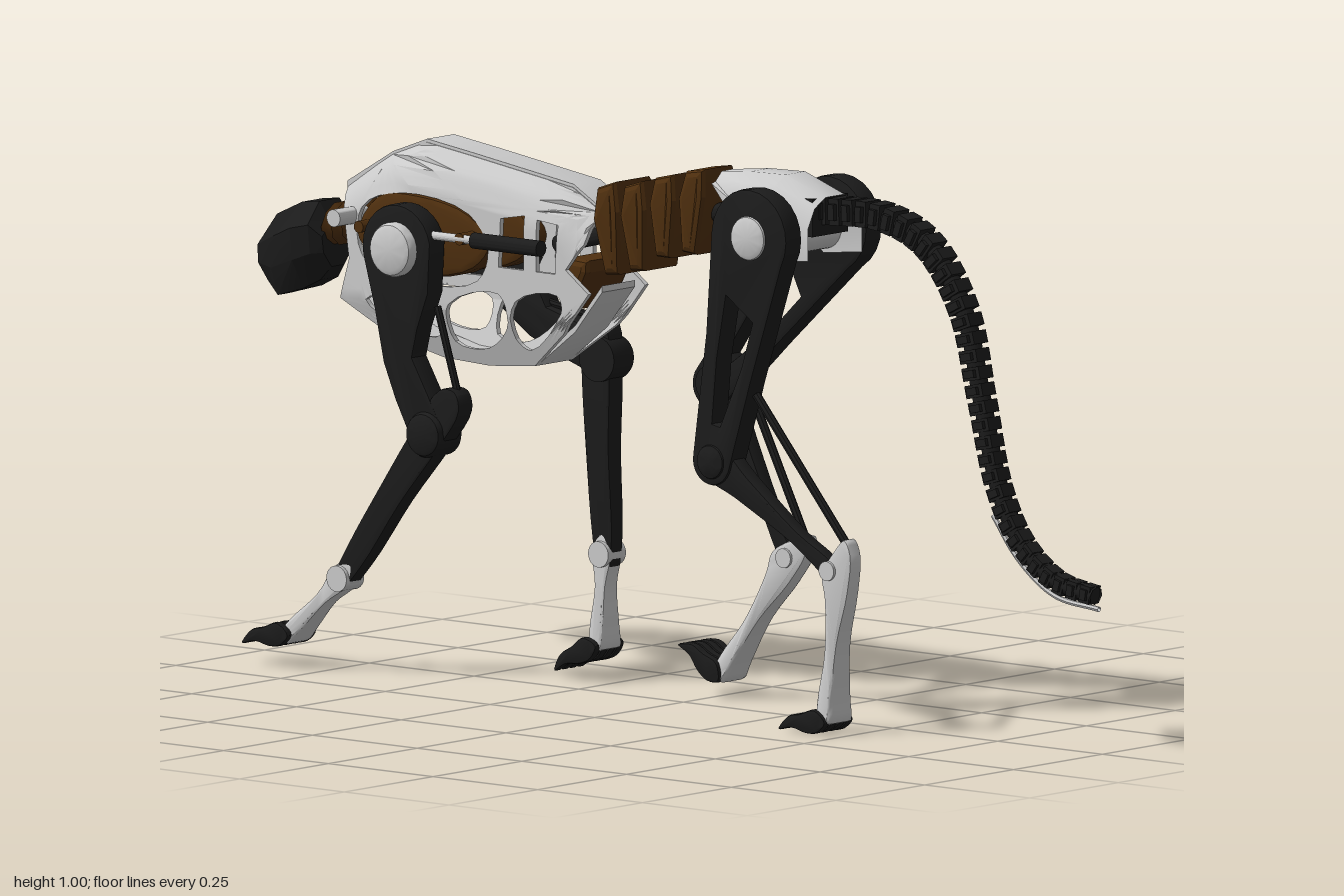
import * as THREE from 'three';
import { toCreasedNormals } from 'three/addons/utils/BufferGeometryUtils.js';

const mat = (color) => new THREE.MeshStandardMaterial({ color, side: THREE.DoubleSide });
const GREY = mat(0xcccccc), BLACK = mat(0x1c1c1c), BROWN = mat(0x50300f);

function add(parent, name, geo, material, crease = 0.6) {
  const mesh = new THREE.Mesh(toCreasedNormals(geo, crease), material);
  mesh.name = name;
  parent.add(mesh);
  return mesh;
}

const arc = (cx, cy, r, a0, a1, n = 14) => Array.from({ length: n + 1 }, (_, i) => {
  const a = a0 + (a1 - a0) * i / n;
  return [cx + r * Math.cos(a), cy + r * Math.sin(a)];
});
const toShape = (pts) => new THREE.Shape(pts.map((p) => new THREE.Vector2(...p)));
const smooth = (pts) => new THREE.CatmullRomCurve3(pts.map((p) => new THREE.Vector3(p[0], p[1], 0)), true)
  .getPoints(pts.length * 4).slice(0, -1).map((p) => [p.x, p.y]);

// Slab cut from an outline, centred on z = 0
function slab(pts, depth, holes = [], bevel = 0) {
  const shape = toShape(pts);
  shape.holes = holes.map((h) => toShape(h));
  const core = depth - 2 * bevel;
  const geo = new THREE.ExtrudeGeometry(shape, { depth: core, bevelEnabled: bevel > 0,
    bevelThickness: bevel, bevelSize: bevel, bevelOffset: -bevel, bevelSegments: 2 });
  return geo.translate(0, 0, -core / 2);
}

// Limb part running from joint a to joint b; its outline uses (along, across)
function link(parent, name, a, b, z, pts, depth, material, { holes = [], w1 = depth } = {}) {
  const len = Math.hypot(b[0] - a[0], b[1] - a[1]);
  const geo = slab(pts, depth, holes, 0.005);
  const p = geo.attributes.position;
  for (let i = 0; i < p.count; i++) {
    const t = THREE.MathUtils.clamp(p.getX(i) / len, 0, 1);
    p.setZ(i, p.getZ(i) * (1 + (w1 / depth - 1) * t * t));
  }
  const mesh = add(parent, name, geo, material, 0.7);
  mesh.position.set(a[0], a[1], z);
  mesh.rotation.z = Math.atan2(b[1] - a[1], b[0] - a[0]);
}

// Cylinder between two 3D points
function rod(parent, name, a, b, r, material, sides = 16) {
  const A = new THREE.Vector3(...a), B = new THREE.Vector3(...b), d = B.clone().sub(A);
  const mesh = add(parent, name, new THREE.CylinderGeometry(r, r, d.length(), sides), material);
  mesh.position.copy(A).addScaledVector(d, 0.5);
  mesh.quaternion.setFromUnitVectors(new THREE.Vector3(0, 1, 0), d.normalize());
}
const axle = (g, name, x, y, z0, z1, r, m) => rod(g, name, [x, y, z0], [x, y, z1], r, m, 28);

// Rounded pin that caps a joint
function cap(g, name, x, y, z0, z1, r, m) {
  const h = Math.abs(z1 - z0);
  const prof = [[0, 0], [r, 0], [r, h - 0.012], [r - 0.004, h - 0.004], [r - 0.012, h], [0, h]];
  const mesh = add(g, name, new THREE.LatheGeometry(prof.map((p) => new THREE.Vector2(...p)), 28), m);
  mesh.position.set(x, y, z0);
  mesh.rotation.x = Math.sign(z1 - z0) * Math.PI / 2;
}

// Skin through a row of equal-length cross-sections
function loft(rings, closed) {
  const n = rings[0].length, idx = [], m = closed ? n : n - 1;
  for (let i = 0; i < rings.length - 1; i++) for (let j = 0; j < m; j++) {
    const a = i * n + j, b = i * n + (j + 1) % n;
    idx.push(a, b, a + n, b, b + n, a + n);
  }
  if (closed) for (let j = 1; j < n - 1; j++) {
    const e = (rings.length - 1) * n;
    idx.push(0, j + 1, j, e, e + j, e + j + 1);
  }
  const geo = new THREE.BufferGeometry();
  geo.setAttribute('position', new THREE.Float32BufferAttribute(rings.flat(2), 3));
  geo.setIndex(idx);
  return geo;
}

// Split every triangle in four so a flat plate can be curved
function subdivide(geo) {
  const p = geo.toNonIndexed ? (geo.index ? geo.toNonIndexed() : geo).attributes.position : null, out = [];
  const v = [0, 1, 2].map(() => new THREE.Vector3());
  for (let i = 0; i < p.count; i += 3) {
    v.forEach((q, k) => q.fromBufferAttribute(p, i + k));
    const [a, b, c] = v, ab = a.clone().lerp(b, 0.5), bc = b.clone().lerp(c, 0.5), ca = c.clone().lerp(a, 0.5);
    for (const q of [a, ab, ca, ab, b, bc, ca, bc, c, ab, bc, ca]) out.push(q.x, q.y, q.z);
  }
  const g = new THREE.BufferGeometry();
  g.setAttribute('position', new THREE.Float32BufferAttribute(out, 3));
  return g;
}

const ramp = (t, table) => {
  for (let i = 1; i < table.length; i++) if (t <= table[i][0]) {
    const [a, b] = [table[i - 1], table[i]];
    return a[1] + (b[1] - a[1]) * Math.max(0, (t - a[0]) / (b[0] - a[0]));
  }
  return table[table.length - 1][1];
};
const TOP = [[-0.77, 0.9], [-0.66, 0.965], [-0.58, 0.995], [-0.47, 0.98], [-0.23, 0.945], [-0.16, 0.905]];
const BELLY = [[-0.155, 0.76], [-0.22, 0.68], [-0.31, 0.61], [-0.42, 0.6], [-0.525, 0.605], [-0.63, 0.63], [-0.76, 0.695]];

function ribcage(root) {
  const g = new THREE.Group();
  g.name = 'ribcage';
  root.add(g);
  const outline = [...TOP, [-0.17, 0.85], [-0.21, 0.8], ...BELLY, [-0.735, 0.77], [-0.745, 0.83]];
  const holes = [
    smooth([[-0.71, 0.8], [-0.7, 0.87], [-0.6, 0.905], [-0.44, 0.88], [-0.395, 0.82], [-0.42, 0.76], [-0.56, 0.74], [-0.66, 0.75]]),
    smooth([[-0.69, 0.7], [-0.6, 0.715], [-0.52, 0.7], [-0.52, 0.65], [-0.61, 0.65]]),
    smooth([[-0.49, 0.71], [-0.37, 0.74], [-0.35, 0.69], [-0.41, 0.635], [-0.49, 0.64]]),
    smooth([[-0.33, 0.73], [-0.23, 0.75], [-0.22, 0.72], [-0.31, 0.64], [-0.34, 0.66]]),
    [[-0.37, 0.79], [-0.365, 0.88], [-0.31, 0.89], [-0.31, 0.79]],
    [[-0.28, 0.79], [-0.28, 0.885], [-0.23, 0.88], [-0.235, 0.79]],
  ];
  for (const s of [1, -1]) {
    const geo = subdivide(subdivide(slab(outline, 0.01, holes)));
    const p = geo.attributes.position;
    for (let i = 0; i < p.count; i++) {
      const x = p.getX(i), y = p.getY(i);
      const hw = Math.min(ramp(ramp(x, TOP) - y, [[0, 0.035], [0.03, 0.064], [0.08, 0.082]]),
        ramp(y, [[0.6, 0.045], [0.7, 0.08]])) * ramp(x, [[-0.78, 0.8], [-0.66, 1]]);
      p.setZ(i, p.getZ(i) + s * hw);
    }
    add(g, 'sideShell', geo, GREY, 0.5);
    // Shoulder pod, piston and its brackets
    const pod = add(g, 'shoulderPod', slab(smooth([[-0.71, 0.82], [-0.66, 0.895], [-0.56, 0.905], [-0.44, 0.88],
      [-0.39, 0.83], [-0.43, 0.78], [-0.56, 0.755], [-0.67, 0.78]]), 0.05, [], 0.012), BROWN);
    pod.position.z = s * 0.062;
    rod(g, 'piston', [-0.4, 0.84, s * 0.118], [-0.24, 0.84, s * 0.118], 0.015, BLACK);
    rod(g, 'pistonShaft', [-0.52, 0.84, s * 0.118], [-0.39, 0.84, s * 0.118], 0.008, GREY);
    for (const x of [-0.67, -0.43]) axle(g, 'podPin', x, 0.84, s * 0.05, s * 0.125, 0.011, BROWN);
    axle(g, 'collarPin', -0.73, 0.85, s * 0.04, s * 0.125, 0.016, GREY);
  }
  const strip = (pts, t) => [...pts, ...pts.slice().reverse().map(([x, y]) => [x, y - t])];
  add(g, 'backStrip', slab(strip(TOP.map(([x, y]) => [x, y + 0.006]), 0.014), 0.076), GREY);
  add(g, 'bellyStrip', slab(strip(BELLY, -0.012), 0.092), GREY);
  axle(g, 'shoulderAxle', -0.57, 0.81, -0.12, 0.12, 0.03, BLACK);
}

function headAndNeck(root) {
  // Head sections: x, top, bottom, half-width, lean of the section
  const rings = [[-0.985, 0.79, 0.7, 0.024, -0.012], [-0.955, 0.825, 0.675, 0.04, 0], [-0.885, 0.855, 0.695, 0.066, 0],
    [-0.845, 0.86, 0.715, 0.062, 0], [-0.825, 0.82, 0.74, 0.045, 0]].map(([x, t, b, w, lean]) => {
    const h = t - b;
    return [[t, 0.45], [t - h * 0.28, 1], [b + h * 0.35, 0.9], [b, 0.4]].flatMap(([y, k]) => [[y, k]])
      .flatMap(([y, k], i, arr) => [[x + lean * (i === 1 || i === 2 ? 1 : 0), y, w * k]])
      .concat([[b, 0.4], [b + h * 0.35, 0.9], [t - h * 0.28, 1], [t, 0.45]].map(([y, k], i) => [x + lean * (i === 1 || i === 2 ? 1 : 0), y, -w * k]));
  });
  add(root, 'head', loft(rings, true), BLACK, 0.3);
  rod(root, 'neckRod', [-0.85, 0.815, 0], [-0.68, 0.84, 0], 0.018, BLACK);
  for (let i = 0; i < 4; i++) {
    const v = add(root, 'neckVertebra', new THREE.CylinderGeometry(0.044, 0.03, 0.016, 10), BROWN);
    v.position.set(-0.82 + i * 0.024, 0.815 + i * 0.006, 0);
    v.rotation.z = Math.PI / 2 - 0.15;
  }
}

function spineAndPelvis(root) {
  rod(root, 'spineRod', [-0.3, 0.83, 0], [0.22, 0.96, 0], 0.016, BLACK);
  // Wedge vertebrae that get slimmer towards the hips
  [[-0.215, 0.775, 0.1, 0.07, -0.3], [-0.135, 0.88, 0.17, 0.068, 0.1], [-0.075, 0.89, 0.165, 0.064, 0.07],
    [-0.01, 0.915, 0.155, 0.06, 0], [0.055, 0.93, 0.16, 0.056, -0.08]].forEach(([x, y, h, w, tilt]) => {
    const side = [[-0.02, h / 2 - 0.01], [0.022, h / 2], [0.03, 0.03], [0.016, -h / 2], [-0.018, -h / 2], [-0.028, 0.02]];
    const geo = slab(side, w * 2, [], 0.012);
    const p = geo.attributes.position;
    for (let i = 0; i < p.count; i++) p.setZ(i, p.getZ(i) * (1 - 2.2 * Math.abs(p.getY(i))));
    const m = add(root, 'vertebra', geo, BROWN, 0.3);
    m.position.set(x, y, 0);
    m.rotation.z = tilt;
  });
  // Saddle-shaped hip cover
  const rings = [[0.105, 0.045, 1.008, 0.985], [0.18, 0.076, 1.016, 0.93], [0.26, 0.078, 1.018, 0.86], [0.35, 0.076, 0.985, 0.87]]
    .map(([x, w, t, b]) => {
      const half = [[b, 1], [Math.max(b, t - 0.055), 1], [t - 0.02, 0.75], [t - 0.003, 0.35]];
      const lift = (x - 0.105) * 0.05;
      return [...half.map(([y, k]) => [x + lift, y, w * k]), ...half.reverse().map(([y, k]) => [x + lift, y, -w * k])];
    });
  add(root, 'hipCover', loft(rings, false), GREY, 0.6);
  add(root, 'hipCore', new THREE.BoxGeometry(0.14, 0.07, 0.1), BLACK).position.set(0.28, 0.945, 0);
  axle(root, 'hipAxle', 0.27, 0.91, -0.1, 0.1, 0.042, GREY);
}

function tail(root) {
  const pts = [[0.33, 0.955], [0.49, 0.953], [0.59, 0.91], [0.67, 0.8], [0.713, 0.64], [0.755, 0.48], [0.81, 0.385], [0.89, 0.325], [0.985, 0.305]];
  const curve = new THREE.CatmullRomCurve3(pts.map((p) => new THREE.Vector3(...p, 0)));
  add(root, 'tailCore', new THREE.TubeGeometry(curve, 80, 0.017, 8), BLACK, 1);
  const n = 33;
  for (let i = 0; i < n; i++) {
    const t = (i + 0.5) / n, k = 1 - 0.35 * t;
    const dir = curve.getTangentAt(t);
    const seg = new THREE.Group();
    seg.name = 'tailSegment';
    add(seg, 'tailBlock', new THREE.BoxGeometry(0.024, 0.05 * k, 0.046 * k), BLACK);
    add(seg, 'tailFlange', new THREE.BoxGeometry(0.014, 0.03 * k, 0.064 * k), BLACK);
    seg.position.copy(curve.getPointAt(t));
    seg.rotation.z = Math.atan2(dir.y, dir.x);
    root.add(seg);
  }
  const tendon = [[0.74, 0.43], [0.8, 0.355], [0.885, 0.297], [0.993, 0.281]].map((p) => new THREE.Vector3(...p, 0));
  add(root, 'tailTendon', new THREE.TubeGeometry(new THREE.CatmullRomCurve3(tendon), 24, 0.005, 6), GREY, 1);
}

// Four hooked toes side by side
function paw(g, heel, tip, z) {
  const toe = smooth([[-0.012, 0.002], [0.01, -0.024], [0.045, -0.02], [0.075, -0.018], [0.102, 0.004], [0.07, 0.004], [0.04, 0.016], [0.01, 0.018]]);
  for (let i = 0; i < 4; i++) link(g, 'toe', heel, tip, z + (i - 1.5) * 0.0215, toe, 0.019, BLACK);
}

function frontLeg(root, s, { elbow, top, wrist, ankle, tip }) {
  const g = new THREE.Group(), z = s * 0.115, H = Math.PI / 2, shoulder = [-0.57, 0.81];
  g.name = 'frontLeg';
  root.add(g);
  link(g, 'upperArm', shoulder, elbow, z, [...arc(0, 0, 0.082, H, 3 * H), [0.1, -0.075], [0.2, -0.074], [0.27, -0.06],
    ...arc(0.34, 0, 0.042, -H * 1.1, H), [0.27, 0.02], [0.2, -0.004], [0.15, 0.02], [0.09, 0.058]], 0.045, BLACK);
  cap(g, 'shoulderCap', ...shoulder, s * 0.13, s * 0.16, 0.05, GREY);
  cap(g, 'elbowCap', ...elbow, s * 0.085, s * 0.15, 0.042, BLACK);
  link(g, 'forearm', top, wrist, z, smooth([[-0.012, 0], [0.01, -0.03], [0.1, -0.034], [0.24, -0.03], [0.4, -0.022], [0.46, -0.012],
    [0.46, 0.014], [0.4, 0.026], [0.24, 0.026], [0.1, 0.034], [0.01, 0.03]]), 0.042, BLACK, { w1: 0.032 });
  rod(g, 'tendonRod', [shoulder[0] + 0.08, shoulder[1] - 0.1, z], [...top, z], 0.007, BLACK, 8);
  axle(g, 'wristPin', ...wrist, s * 0.09, s * 0.14, 0.024, GREY);
  link(g, 'pastern', wrist, ankle, z, smooth([[-0.04, 0], [-0.01, -0.024], [0.06, -0.014], [0.14, -0.018], [0.175, -0.01], [0.175, 0.012],
    [0.13, 0.014], [0.06, 0.012], [-0.01, 0.022]]), 0.034, GREY, { w1: 0.064 });
  paw(g, ankle, tip, z);
}

function hindLeg(root, s, { knee, hock, rodTop, rodEnd, toeJoint, tip }) {
  const g = new THREE.Group(), z = s * 0.113, H = Math.PI / 2, hip = [0.27, 0.91];
  g.name = 'hindLeg';
  root.add(g);
  link(g, 'thigh', hip, knee, z, [...arc(0, 0, 0.09, H * 0.8, H * 3.1), [0.2, -0.062], ...arc(0.428, 0, 0.045, -H, H), [0.26, 0.06]],
    0.046, BLACK, { holes: [[[0.12, -0.03], [0.15, 0.04], [0.24, 0.032], [0.36, 0.006], [0.36, -0.012], [0.24, -0.026]]] });
  cap(g, 'hipCap', ...hip, s * 0.12, s * 0.143, 0.043, GREY);
  cap(g, 'kneeCap', ...knee, s * 0.085, s * 0.143, 0.034, BLACK);
  const len = Math.hypot(hock[0] - knee[0], hock[1] - knee[1]);
  link(g, 'shank', knee, hock, z, smooth([[-0.03, 0], [0, -0.034], [0.08, -0.025], [len * 0.7, -0.013], [len, -0.015], [len + 0.015, 0],
    [len, 0.015], [len * 0.7, 0.013], [0.08, 0.025], [0, 0.034]]), 0.036, BLACK, { w1: 0.026 });
  rod(g, 'shankRod', [...rodTop, z], [...rodEnd, z], 0.008, BLACK, 8);
  axle(g, 'hockPin', ...hock, z - 0.022, z + 0.022, 0.018, GREY);
  // Long foot bone, widening towards the toes
  link(g, 'footBone', rodEnd, toeJoint, z, smooth([[-0.015, 0], [0.01, -0.022], [0.06, -0.046], [0.1, -0.034], [0.2, -0.019], [0.29, -0.02], [0.325, -0.012],
    [0.325, 0.014], [0.28, 0.012], [0.18, 0.008], [0.08, 0.02], [0.01, 0.018]]), 0.032, GREY, { w1: 0.072 });
  paw(g, toeJoint, tip, z);
}

export function createModel() {
  const root = new THREE.Group();
  root.name = 'roboticCat';
  ribcage(root);
  headAndNeck(root);
  spineAndPelvis(root);
  tail(root);
  frontLeg(root, 1, { elbow: [-0.5, 0.475], top: [-0.44, 0.55], wrist: [-0.71, 0.19], ankle: [-0.825, 0.077], tip: [-0.91, 0.06] });
  frontLeg(root, -1, { elbow: [-0.28, 0.61], top: [-0.295, 0.68], wrist: [-0.28, 0.25], ankle: [-0.285, 0.08], tip: [-0.36, 0.04] });
  hindLeg(root, 1, { knee: [0.18, 0.49], hock: [0.455, 0.315], rodTop: [0.27, 0.62], rodEnd: [0.49, 0.36], toeJoint: [0.455, 0.038], tip: [0.36, 0.022] });
  hindLeg(root, -1, { knee: [-0.01, 0.59], hock: [0.16, 0.285], rodTop: [0.05, 0.61], rodEnd: [0.2, 0.315], toeJoint: [0.012, 0.055], tip: [-0.06, 0.1] });
  return root;
}
